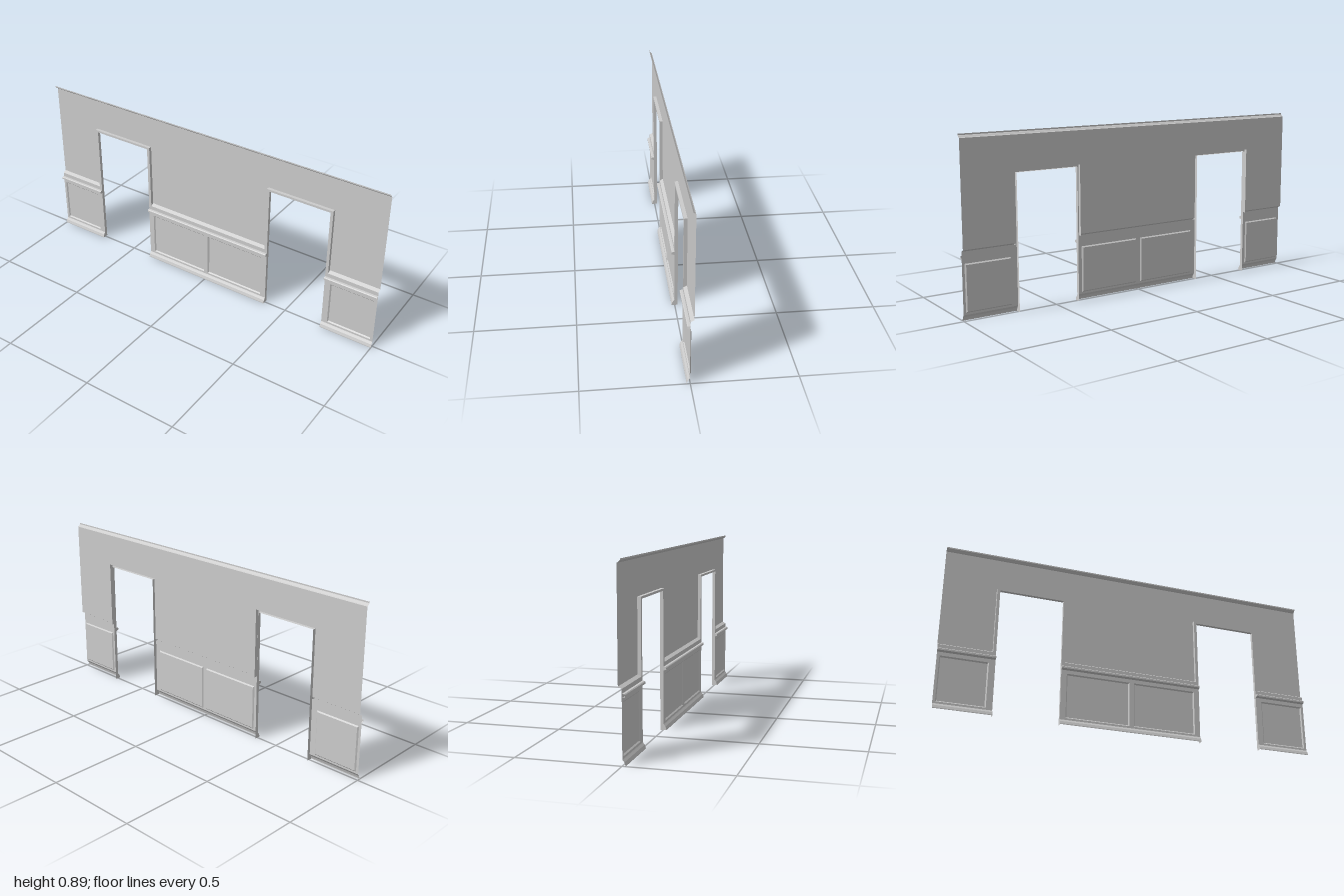
import * as THREE from 'three';

const material = new THREE.MeshStandardMaterial({ color: 0xcccccc, side: THREE.DoubleSide, flatShading: true });

const BACK = -0.015, FACE = 0.002;       // wall plane and panelling plane
const TOP = 0.887, SILL = 0.337, SILL_TOP = 0.347;
const DOOR_IN = 0.377, DOOR_OUT = 0.713, DOOR_TOP = 0.687, TRIM = 0.015;

// Profiles as [z, y], bottom to top
const baseProfile = [[0.016, 0], [0.016, 0.004], [0.011, 0.018], [0.004, 0.027], [FACE, 0.03]];
const railProfile = [[FACE, 0.297], [0.01, 0.3], [0.016, 0.302], [0.016, 0.311], [0.012, 0.315], [FACE, 0.316]];
const sillProfile = [[FACE, SILL], [BACK, SILL_TOP]];
const crownProfile = [[BACK, 0.868], [-0.01, 0.871], [-0.004, 0.877], [0, 0.88], [0, TOP]];

function add(parent, name, geometry) {
  const mesh = new THREE.Mesh(geometry, material);
  mesh.name = name;
  parent.add(mesh);
  return mesh;
}

// Open surface through rows of [x, y, z] points
function sheet(rows) {
  const pos = [];
  for (let i = 0; i < rows.length - 1; i++) {
    for (let j = 0; j < rows[i].length - 1; j++) {
      const a = rows[i][j], b = rows[i][j + 1], c = rows[i + 1][j + 1], d = rows[i + 1][j];
      pos.push(...a, ...b, ...c, ...a, ...c, ...d);
    }
  }
  const geometry = new THREE.BufferGeometry();
  geometry.setAttribute('position', new THREE.Float32BufferAttribute(pos, 3));
  geometry.computeVertexNormals();
  return geometry;
}

const moulding = (profile, x0, x1) => sheet(profile.map(([z, y]) => [[x0, y, z], [x1, y, z]]));

const polygon = (points) => new THREE.Shape(points.map(([x, y]) => new THREE.Vector2(x, y)));

const rect = (x0, y0, x1, y1) => [[x0, y0], [x1, y0], [x1, y1], [x0, y1]];

// Sunken panel: sloped border and flat field
function addPanel(parent, [x0, x1]) {
  const y0 = 0.04, y1 = 0.278, s = 0.006, deep = -0.004;
  const loop = (inset, z) => {
    const r = rect(x0 + inset, y0 + inset, x1 - inset, y1 - inset).map(([x, y]) => [x, y, z]);
    return [...r, r[0]];
  };
  add(parent, 'panelBorder', sheet([loop(0, FACE), loop(s, deep)]));
  const [a, b, c, d] = loop(s, deep);
  add(parent, 'panelField', sheet([[a, b], [d, c]]));
}

// Profile-shaped end closing the panelling beside a doorway
function addEnd(parent, x, facing) {
  const outline = [[BACK, 0], ...baseProfile, ...railProfile, [FACE, SILL], [BACK, SILL]];
  const geometry = new THREE.ShapeGeometry(polygon(outline.map(([z, y]) => [-z * facing, y])));
  geometry.rotateY(facing * Math.PI / 2);
  geometry.translate(x, 0, 0);
  add(parent, 'panellingEnd', geometry);
}

// One stretch of panelling between doorways or wall ends
function wainscot(name, x0, x1, sill0, sill1, panels) {
  const group = new THREE.Group();
  group.name = name;
  const face = polygon(rect(x0, 0.03, x1, SILL));
  for (const [p0, p1] of panels) {
    face.holes.push(polygon(rect(p0, 0.04, p1, 0.278)));
  }
  add(group, 'panellingFace', new THREE.ShapeGeometry(face)).geometry.translate(0, 0, FACE);
  panels.forEach((p) => addPanel(group, p));
  add(group, 'baseboard', moulding(baseProfile, x0, x1));
  add(group, 'chairRail', moulding(railProfile, x0, x1));
  add(group, 'slopedLedge', moulding(sillProfile, sill0, sill1));
  if (x0 > -1) addEnd(group, x0, -1);
  if (x1 < 1) addEnd(group, x1, 1);
  return group;
}

// Square trim swept around a doorway with mitred corners
function doorFrame(x0, x1) {
  const section = [[0, BACK], [0, FACE], [TRIM, FACE], [TRIM, BACK]];
  return sheet(section.map(([o, z]) => [
    [x0 - o, SILL, z], [x0 - o, DOOR_TOP + o * 0.75, z],
    [x1 + o, DOOR_TOP + o * 0.75, z], [x1 + o, SILL, z],
  ]));
}

export function createModel() {
  const model = new THREE.Group();
  model.name = 'panelledWall';

  // Upper wall sheet, notched around both doorways
  const a = DOOR_OUT + TRIM, b = DOOR_IN - TRIM, t = DOOR_TOP + TRIM * 0.75;
  const wall = polygon([
    [-1, SILL_TOP], [-a, SILL_TOP], [-a, t], [-b, t], [-b, SILL_TOP],
    [b, SILL_TOP], [b, t], [a, t], [a, SILL_TOP], [1, SILL_TOP], [1, 0.868], [-1, 0.868],
  ]);
  add(model, 'upperWall', new THREE.ShapeGeometry(wall)).geometry.translate(0, 0, BACK);
  add(model, 'crownMoulding', moulding(crownProfile, -1, 1));

  // Doorway trims
  add(model, 'rightDoorFrame', doorFrame(-DOOR_OUT, -DOOR_IN));
  add(model, 'leftDoorFrame', doorFrame(DOOR_IN, DOOR_OUT));

  // Panelling
  model.add(wainscot('rightPanelling', -1, -DOOR_OUT, -1, -a, [[-0.987, -0.745]]));
  model.add(wainscot('middlePanelling', -DOOR_IN, DOOR_IN, -b, b, [[-0.348, -0.012], [0.012, 0.348]]));
  model.add(wainscot('leftPanelling', DOOR_OUT, 1, a, 1, [[0.745, 0.987]]));
  return model;
}
